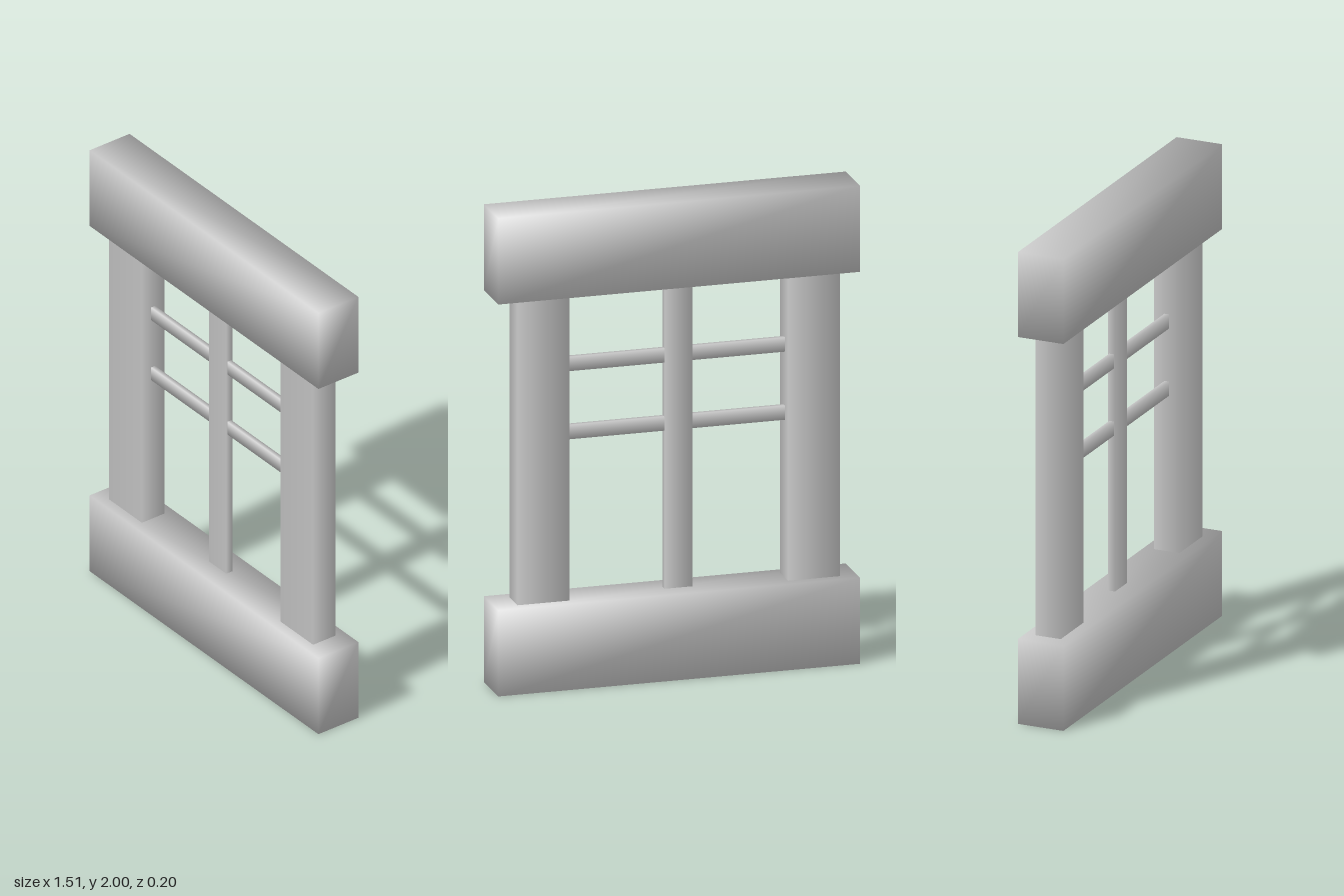
import * as THREE from 'three';

const material = new THREE.MeshStandardMaterial({ color: 0xcccccc, side: THREE.DoubleSide });

// Box spanning two ranges per axis, with soft normals blended around its corners.
// openAxis (0 = x, 1 = y) leaves out the two end faces and keeps normals square to that axis.
function softBar(name, [x0, x1], [y0, y1], [z0, z1], openAxis = -1) {
  const geometry = new THREE.BoxGeometry(x1 - x0, y1 - y0, z1 - z0);
  const position = geometry.attributes.position;
  const normal = geometry.attributes.normal;
  const n = new THREE.Vector3();
  for (let i = 0; i < position.count; i++) {
    n.fromBufferAttribute(position, i);
    n.set(Math.sign(n.x), Math.sign(n.y), Math.sign(n.z));
    if (openAxis >= 0) n.setComponent(openAxis, 0);
    n.normalize();
    normal.setXYZ(i, n.x, n.y, n.z);
  }
  if (openAxis >= 0) {
    const faces = Array.from(geometry.index.array);
    faces.splice(openAxis * 12, 12);
    geometry.setIndex(faces);
    geometry.clearGroups();
  }
  const mesh = new THREE.Mesh(geometry, material);
  mesh.name = name;
  mesh.position.set((x0 + x1) / 2, (y0 + y1) / 2, (z0 + z1) / 2);
  return mesh;
}

export function createModel() {
  const model = new THREE.Group();
  model.name = 'windowFrame';

  // Heavy beams at the bottom and top
  model.add(softBar('bottomBeam', [-0.755, 0.755], [0, 0.36], [-0.1, 0.1]));
  model.add(softBar('topBeam', [-0.755, 0.755], [1.64, 2], [-0.1, 0.1]));

  // Side posts and the thin middle bar
  const height = [0.36, 1.64];
  model.add(softBar('rightPost', [-0.685, -0.468], height, [-0.056, 0.056], 1));
  model.add(softBar('leftPost', [0.445, 0.662], height, [-0.056, 0.056], 1));
  model.add(softBar('middleBar', [-0.08, 0.035], height, [-0.015, 0.015], 1));

  // Cross rungs between the posts and the middle bar
  for (const y of [1.02, 1.305]) {
    const span = [y, y + 0.06];
    model.add(softBar('rightRung', [-0.468, -0.08], span, [-0.01, 0.01], 0));
    model.add(softBar('leftRung', [0.035, 0.445], span, [-0.01, 0.01], 0));
  }
  return model;
}
